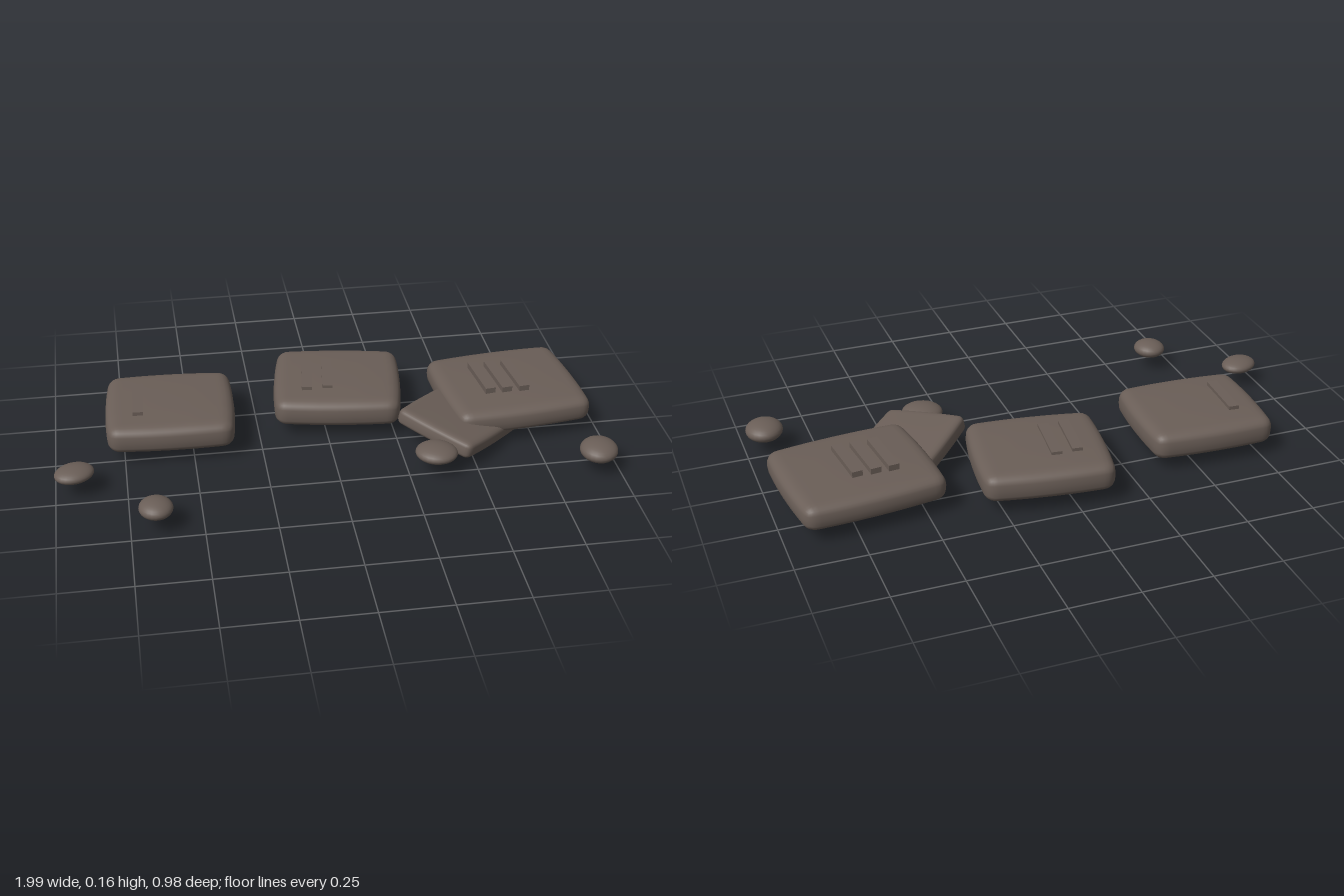
import * as THREE from 'three';
import { mergeVertices } from 'three/addons/utils/BufferGeometryUtils.js';

const stone = new THREE.MeshStandardMaterial({ color: 0x6a5e57 });
stone.name = 'brown stone';

// Worn slab: a box with rounded edges, slightly bulging sides and domed faces
function slabGeometry(w, h, d, radius, bulge, dome) {
  let geo = new THREE.BoxGeometry(2, 2, 2, 18, 8, 18);
  geo.deleteAttribute('normal');
  geo.deleteAttribute('uv');
  geo = mergeVertices(geo);
  const pos = geo.attributes.position;
  const half = new THREE.Vector3(w / 2 - bulge, h / 2 - dome, d / 2 - bulge);
  const limit = half.clone().subScalar(radius);
  const p = new THREE.Vector3(), inner = new THREE.Vector3();
  const crowd = (t) => Math.sign(t) * Math.pow(Math.abs(t), 0.55); // more rows near the edges
  for (let i = 0; i < pos.count; i++) {
    p.set(crowd(pos.getX(i)), crowd(pos.getY(i)), crowd(pos.getZ(i))).multiply(half);
    inner.copy(p).clamp(limit.clone().negate(), limit);
    p.sub(inner).setLength(radius).add(inner);
    const u = p.x / half.x, v = p.y / half.y, s = p.z / half.z;
    pos.setXYZ(i,
      p.x + u * bulge * (1 - s * s),
      p.y + v * dome * (1 - u * u) * (1 - s * s),
      p.z + s * bulge * (1 - u * u));
  }
  geo.computeVertexNormals();
  return geo;
}

function addMesh(parent, name, geometry, x, y, z) {
  const mesh = new THREE.Mesh(geometry, stone);
  mesh.name = name;
  mesh.position.set(x, y, z);
  parent.add(mesh);
  return mesh;
}

export function createModel() {
  const model = new THREE.Group();
  model.name = 'stepping stones';

  // Three slabs, each with raised tally bars: [x, y, z, width, depth, height, turn, bar turn, bars]
  const slabs = [
    [-0.573, 0.097, -0.163, 0.475, 0.435, 0.115, -0.04, -0.05, [[-0.688, -0.163]]],
    [0.064, 0.098, -0.245, 0.48, 0.445, 0.116, -0.145, -0.12, [[-0.052, -0.248], [0.025, -0.248]]],
    [0.698, 0.092, -0.14, 0.53, 0.475, 0.108, 0.1, 0.11, [[0.597, -0.137], [0.66, -0.137], [0.725, -0.137]]],
  ];
  slabs.forEach(([x, y, z, w, d, h, turn, barTurn, bars], n) => {
    const stepping = new THREE.Group();
    stepping.name = 'steppingStone' + (n + 1);
    addMesh(stepping, 'slab', slabGeometry(w, h, d, 0.04, 0.012, 0.008), x, y, z).rotation.y = turn;
    for (const [bx, bz] of bars) {
      addMesh(stepping, 'tallyBar', new THREE.BoxGeometry(0.038, 0.03, 0.205), bx, 0.15, bz).rotation.y = barTurn;
    }
    model.add(stepping);
  });

  // Broken slab leaning under the third stone, dipping towards +x
  const broken = new THREE.Group();
  broken.name = 'brokenSlab';
  broken.position.set(0.478, 0.075, 0.018);
  broken.rotation.z = -0.2;
  const piece = addMesh(broken, 'brokenPiece', slabGeometry(0.38, 0.07, 0.33, 0.022, 0.006, 0.004), 0, 0, 0);
  piece.rotation.y = Math.PI / 4;
  model.add(broken);

  // Flattened pebbles: [x, z, radius x, radius y, radius z, turn]
  const pebbles = [
    [-0.93, 0.177, 0.072, 0.027, 0.058, 0.4],
    [-0.66, 0.43, 0.059, 0.032, 0.063, 0.2],
    [0.348, 0.235, 0.076, 0.03, 0.07, -0.4],
    [0.925, 0.305, 0.068, 0.036, 0.075, -0.2],
  ];
  for (const [x, z, rx, ry, rz, turn] of pebbles) {
    const pebble = addMesh(model, 'pebble', new THREE.SphereGeometry(1, 24, 16), x, 0.081, z);
    pebble.scale.set(rx, ry, rz);
    pebble.rotation.y = turn;
  }
  return model;
}
